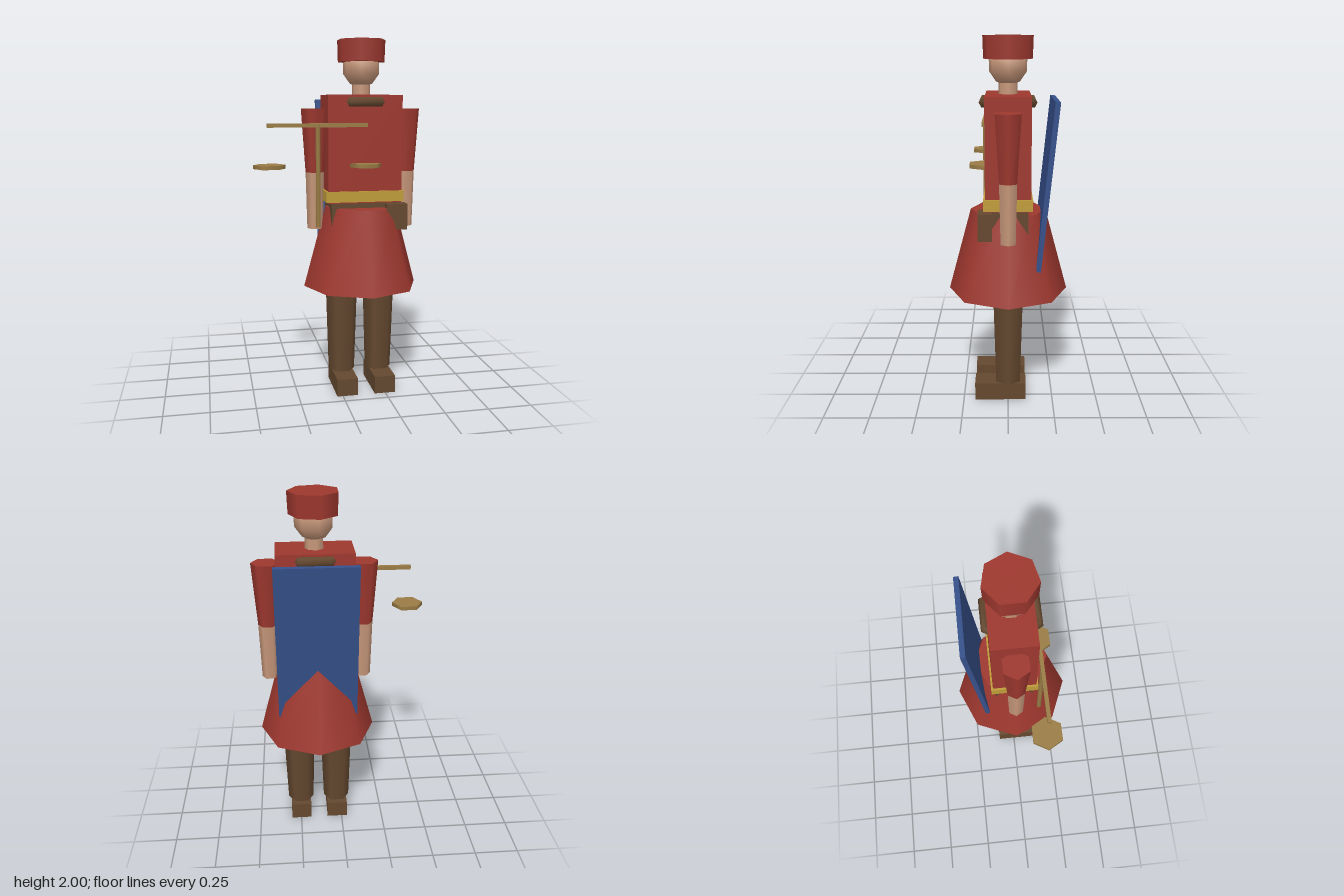
import * as THREE from 'three';

const material = (name, color) => {
  const m = new THREE.MeshStandardMaterial({ color });
  m.name = name;
  return m;
};

export function createModel() {
  const red = material('red cloth', 0x9e382f);
  const brown = material('brown leather', 0x64482f);
  const skin = material('skin', 0xc7977a);
  const gold = material('gold belt', 0xbf9c3a);
  const brass = material('dull brass', 0x9a7c45);
  const blue = material('blue cloak', 0x35508a);

  const model = new THREE.Group();
  model.name = 'figure';
  const body = new THREE.Group();
  body.name = 'body';
  body.position.x = 0.137;
  model.add(body);

  const add = (parent, name, geometry, mat, x, y, z) => {
    const mesh = new THREE.Mesh(geometry, mat);
    mesh.name = name;
    mesh.position.set(x, y, z);
    parent.add(mesh);
    return mesh;
  };
  const box = (parent, name, mat, w, h, d, x, y, z) =>
    add(parent, name, new THREE.BoxGeometry(w, h, d), mat, x, y, z);
  // Tapered prism between two heights, with one corner pointing to +x
  const prism = (parent, name, mat, sides, rTop, rBottom, y0, y1, x = 0, z = 0) =>
    add(parent, name,
      new THREE.CylinderGeometry(rTop, rBottom, y1 - y0, sides, 1, false, Math.PI / 2),
      mat, x, (y0 + y1) / 2, z);

  // Torso, hips, belt and skirt
  box(body, 'torso', red, 0.417, 0.595, 0.24, 0, 1.4025, 0);
  box(body, 'hips', brown, 0.375, 0.17, 0.216, 0, 1.035, 0);
  box(body, 'belt', gold, 0.44, 0.06, 0.26, 0, 1.142, 0);
  prism(body, 'skirt', red, 8, 0.205, 0.33, 0.613, 1.075);
  box(body, 'pouch', brown, 0.118, 0.145, 0.075, 0.176, 1.027, 0.122);

  // Collar ring
  const collar = new THREE.TorusGeometry(0.147, 0.029, 6, 6);
  collar.rotateX(Math.PI / 2);
  add(body, 'collar', collar, brown, 0, 1.662, 0);

  // Neck, head and cap
  prism(body, 'neck', skin, 7, 0.05, 0.052, 1.69, 1.79);
  add(body, 'head', new THREE.SphereGeometry(0.109, 7, 5, Math.PI), skin, 0, 1.85, 0);
  prism(body, 'cap', red, 7, 0.138, 0.134, 1.88, 2);

  // Arms, legs and shoes
  for (const [side, s] of [['left', 1], ['right', -1]]) {
    prism(body, side + 'Sleeve', red, 6, 0.077, 0.053, 1.272, 1.625, s * 0.264);
    prism(body, side + 'Forearm', skin, 6, 0.053, 0.045, 0.952, 1.272, s * 0.264);
    prism(body, side + 'Leg', brown, 6, 0.105, 0.077, 0.095, 1.0, s * 0.11);
    box(body, side + 'Shoe', brown, 0.12, 0.1, 0.285, s * 0.11, 0.05, 0.043);
  }

  // Leaning cloak behind the back
  const cloak = box(body, 'cloak', blue, 0.44, 0.9, 0.027, 0, 1.227, -0.206);
  cloak.rotation.x = -0.1;

  // Balance scales beside the right hand
  const scales = new THREE.Group();
  scales.name = 'scales';
  scales.position.set(-0.13, 0, 0.132);
  model.add(scales);
  prism(scales, 'scalesPost', brass, 6, 0.013, 0.013, 0.98, 1.54);
  box(scales, 'scalesBeam', brass, 0.55, 0.022, 0.02, 0, 1.537, 0);
  for (const s of [-1, 1])
    prism(scales, s > 0 ? 'leftPan' : 'rightPan', brass, 6, 0.087, 0.087, 1.307, 1.328, s * 0.265);

  return model;
}
